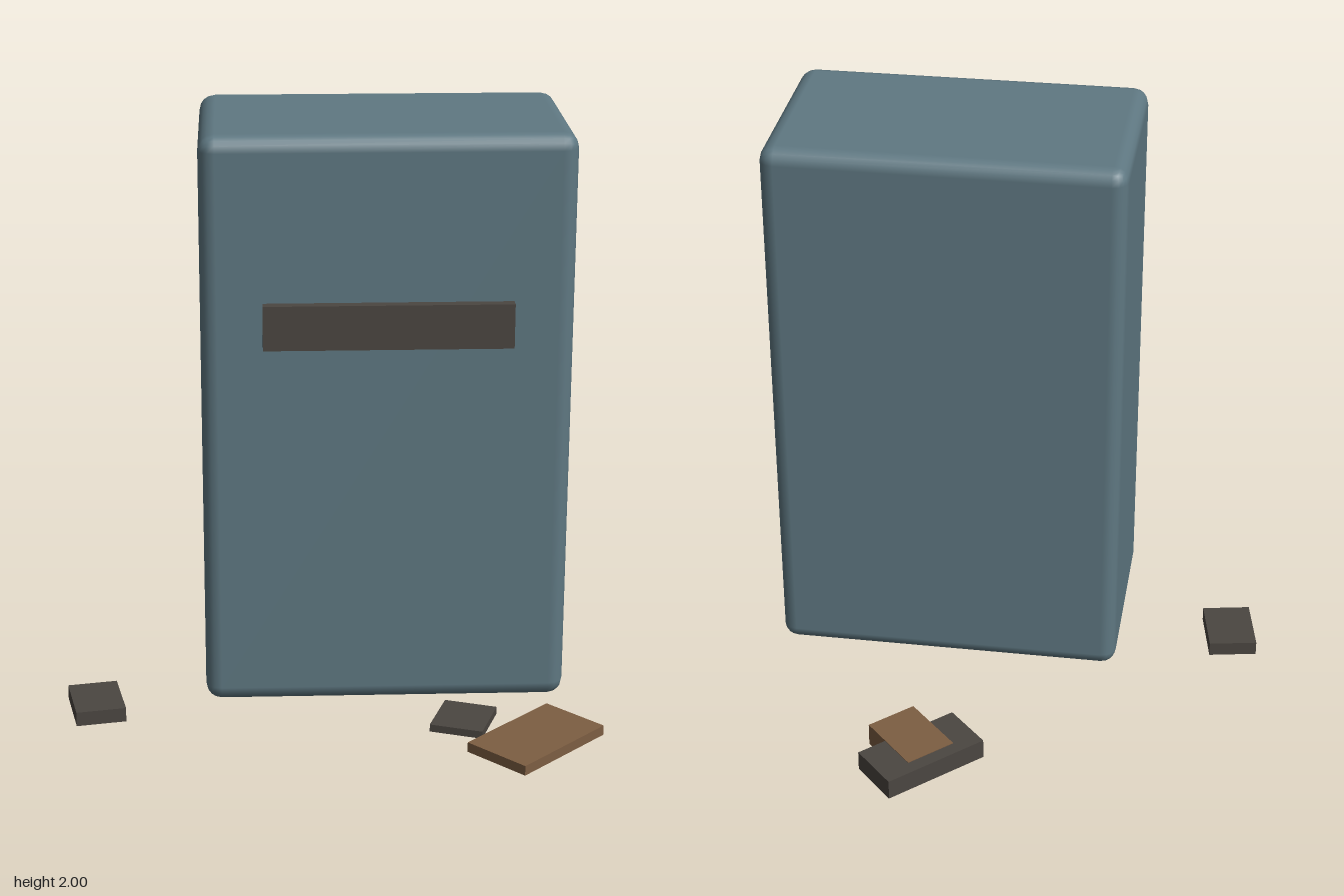
import * as THREE from 'three';
import { RoundedBoxGeometry } from 'three/addons/geometries/RoundedBoxGeometry.js';

const paint = new THREE.MeshStandardMaterial({ name: 'blueGreyPaint', color: 0x5f7882 });
const darkMetal = new THREE.MeshStandardMaterial({ name: 'darkMetal', color: 0x4b4641 });
const rust = new THREE.MeshStandardMaterial({ name: 'rustBrown', color: 0x7d5e42 });

export function createModel() {
  const model = new THREE.Group();
  model.name = 'lockerWithDebris';

  const add = (name, geometry, material, x, y, z, turn = 0) => {
    const mesh = new THREE.Mesh(geometry, material);
    mesh.name = name;
    mesh.position.set(x, y, z);
    mesh.rotation.y = turn;
    model.add(mesh);
  };

  // Bevelled cabinet body, floating above the debris
  add('body', new RoundedBoxGeometry(1.145, 1.84, 0.685, 2, 0.05), paint, 0.163, 1.08, 0.155);

  // Horizontal bar hovering just off the front
  add('frontBar', new THREE.BoxGeometry(0.765, 0.14, 0.035), darkMetal, 0.163, 1.42, 0.527);

  // Loose scraps: name, material, width, depth, x, z, bottom, top, turn
  const scraps = [
    ['sideScrap', darkMetal, 0.163, 0.214, -0.775, 0.245, 0.02, 0.068, 0.185],
    ['backScrap', darkMetal, 0.371, 0.184, 0.183, -0.595, 0.009, 0.078, 0.757],
    ['backRustScrap', rust, 0.177, 0.24, 0.2275, -0.5375, 0, 0.08, 0.757],
    ['frontRustScrap', rust, 0.396, 0.237, 0.645, 0.5575, 0.027, 0.06, 0.767],
    ['frontScrap', darkMetal, 0.175, 0.192, 0.425, 0.406, 0.03, 0.055, -0.343],
  ];
  for (const [name, material, w, d, x, z, bottom, top, turn] of scraps) {
    add(name, new THREE.BoxGeometry(w, top - bottom, d), material, x, (bottom + top) / 2, z, turn);
  }

  return model;
}
